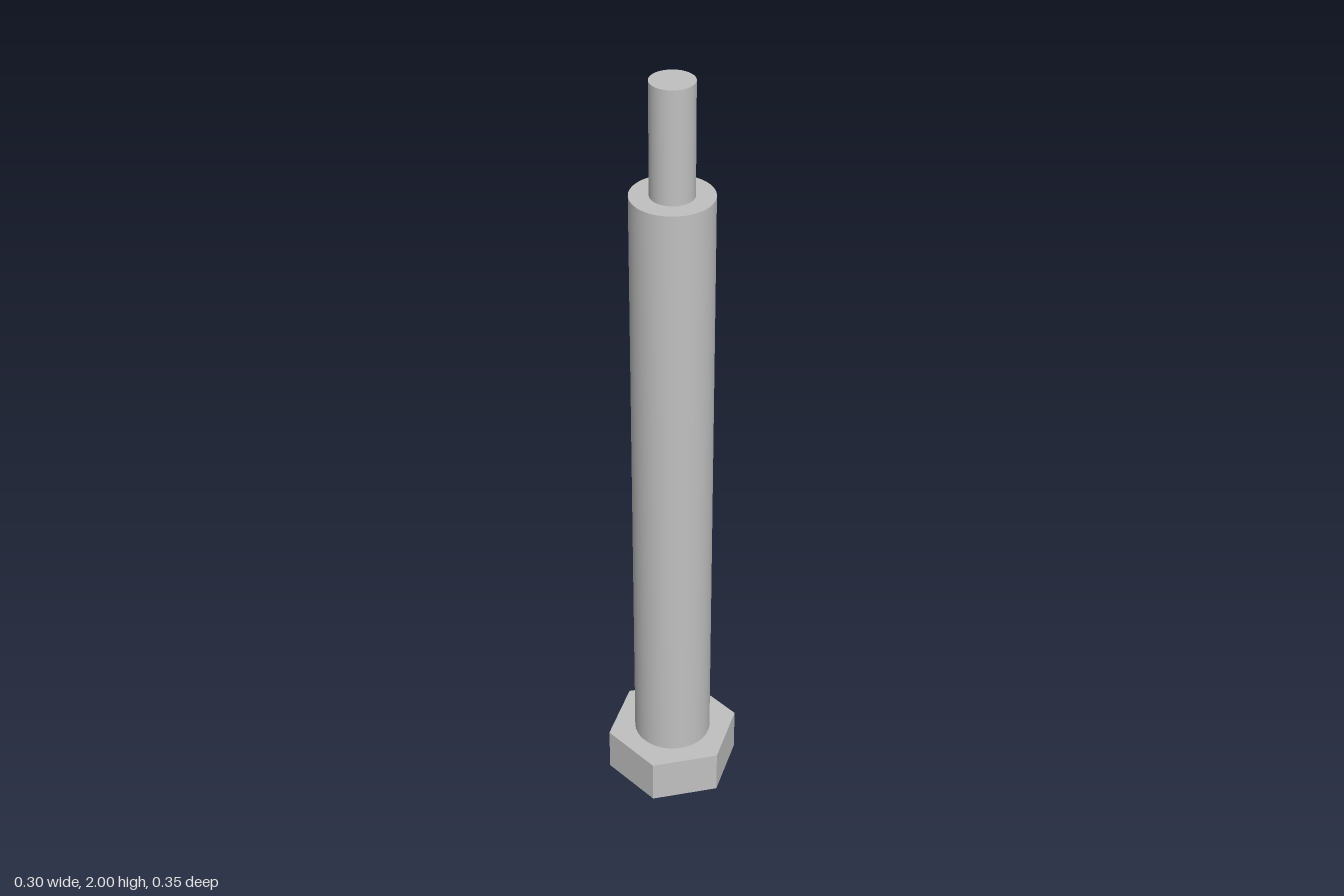
import * as THREE from 'three';

export function createModel() {
  const group = new THREE.Group();
  group.name = 'shoulderBolt';

  const steel = new THREE.MeshStandardMaterial({ color: 0xc0c0c0 });
  steel.name = 'steel';
  // flat-sided steel for the hex head
  const add = (name, radius, bottom, top, sides) => {
    let geometry = new THREE.CylinderGeometry(radius, radius, top - bottom, sides);
    if (sides === 6) {
      // separate the faces so the hexagon edges stay sharp
      geometry = geometry.toNonIndexed();
      geometry.computeVertexNormals();
    }
    const mesh = new THREE.Mesh(geometry, steel);
    mesh.name = name;
    mesh.position.y = (bottom + top) / 2;
    group.add(mesh);
  };

  add('hexHead', 0.173, 0, 0.12, 6); // corners point to front and back
  add('shoulder', 0.1, 0.12, 1.72, 64);
  add('endPin', 0.053, 1.72, 2, 64);

  return group;
}
